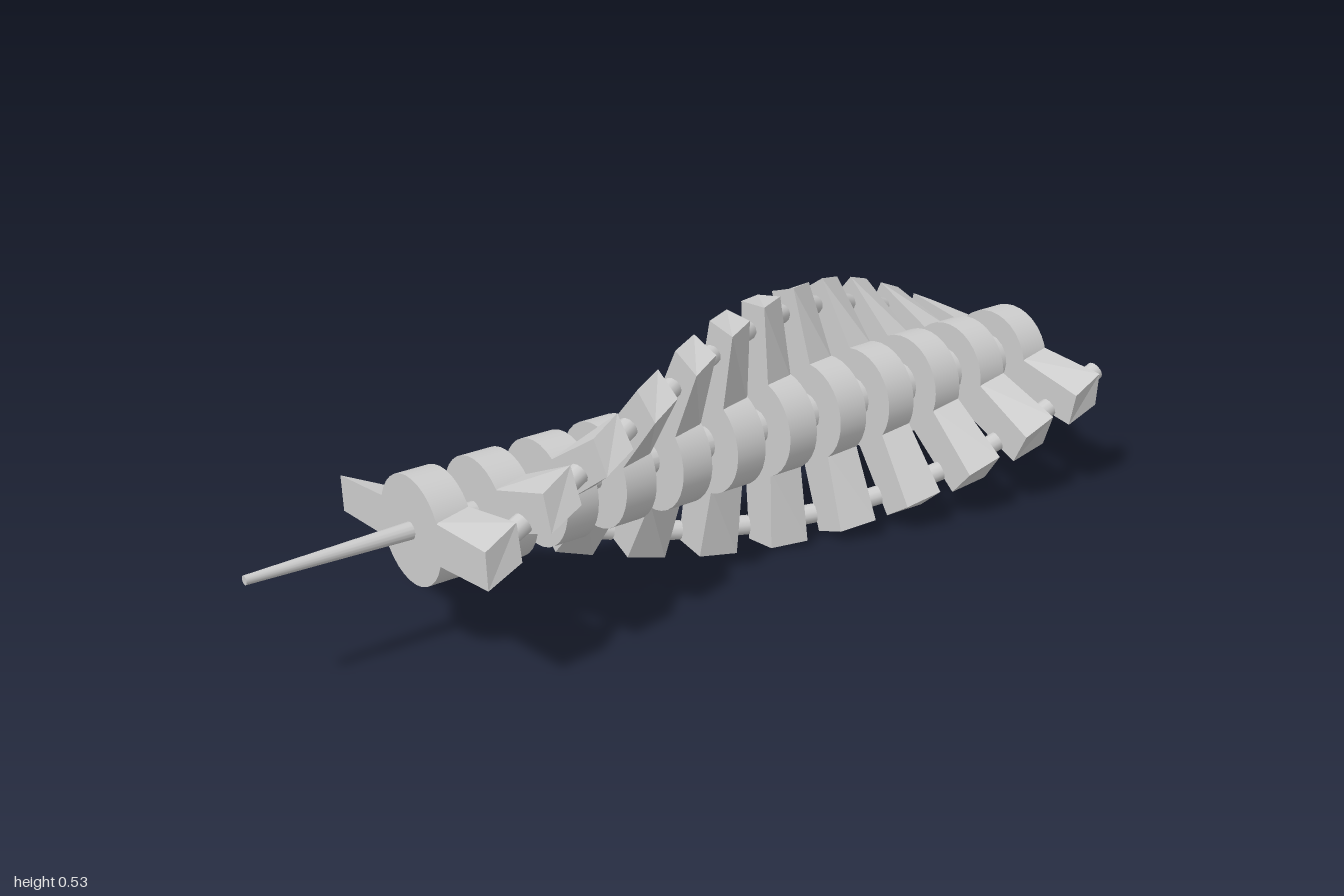
import * as THREE from 'three';

const CY = 0.268, COUNT = 12, DEPTH = 0.072, Z0 = 0.631, PITCH = 0.138;
const STEP = THREE.MathUtils.degToRad(15), TWIST = STEP / 2, START = TWIST / 2;
const grey = new THREE.MeshStandardMaterial({ color: 0xcccccc });
const flat = new THREE.MeshStandardMaterial({ color: 0xcccccc, flatShading: true });
const open = new THREE.MeshStandardMaterial({ color: 0xcccccc, side: THREE.DoubleSide });

function add(parent, name, geometry, material) {
  const mesh = new THREE.Mesh(geometry, material);
  mesh.name = name;
  parent.add(mesh);
  return mesh;
}

// Tapered arm along +x whose back face is turned further round the axis
function armGeometry() {
  const g = new THREE.BoxGeometry(1, 1, DEPTH);
  const p = g.attributes.position;
  for (let i = 0; i < p.count; i++) {
    const outer = p.getX(i) > 0, back = p.getZ(i) < 0;
    const x = outer ? 0.264 : 0.09;
    const y = Math.sign(p.getY(i)) * (outer ? 0.037 : 0.042);
    const a = back ? TWIST : 0;
    p.setXY(i, x * Math.cos(a) - y * Math.sin(a), x * Math.sin(a) + y * Math.cos(a));
  }
  g.computeVertexNormals();
  return g;
}

// Short hollow peg leaning from the back of one arm toward the next
function pegGeometry() {
  const at = (a, z) => new THREE.Vector3(0.217 * Math.cos(a), 0.217 * Math.sin(a), z);
  const path = new THREE.LineCurve3(at(TWIST * 0.7, -DEPTH / 2 + 0.02), at(TWIST * 1.65, -DEPTH / 2 - 0.042));
  return new THREE.TubeGeometry(path, 1, 0.021, 12, false);
}

export function createModel() {
  const model = new THREE.Group();
  model.name = 'twistedSpine';
  const body = new THREE.Group();
  body.name = 'body';
  body.position.y = CY;
  model.add(body);

  // Tapered central rod with a faceted ball at the thick end
  const rod = add(body, 'rod', new THREE.CylinderGeometry(0.009, 0.057, 1.93, 16).rotateX(Math.PI / 2), grey);
  rod.position.z = 0.035;
  const ball = add(body, 'endBall', new THREE.IcosahedronGeometry(0.067, 1), flat);
  ball.position.z = -0.933;

  // Row of discs, each turned a step further
  const disc = new THREE.CylinderGeometry(0.109, 0.109, DEPTH, 32).rotateX(Math.PI / 2);
  const arm = armGeometry(), peg = pegGeometry();
  for (let i = 0; i < COUNT; i++) {
    const segment = new THREE.Group();
    segment.name = `segment${i + 1}`;
    segment.position.z = Z0 - i * PITCH;
    segment.rotation.z = START + i * STEP;
    body.add(segment);
    add(segment, 'disc', disc, grey);
    for (const side of [0, Math.PI]) {
      add(segment, 'arm', arm, flat).rotation.z = side;
      add(segment, 'peg', peg, open).rotation.z = side;
    }
  }
  return model;
}
